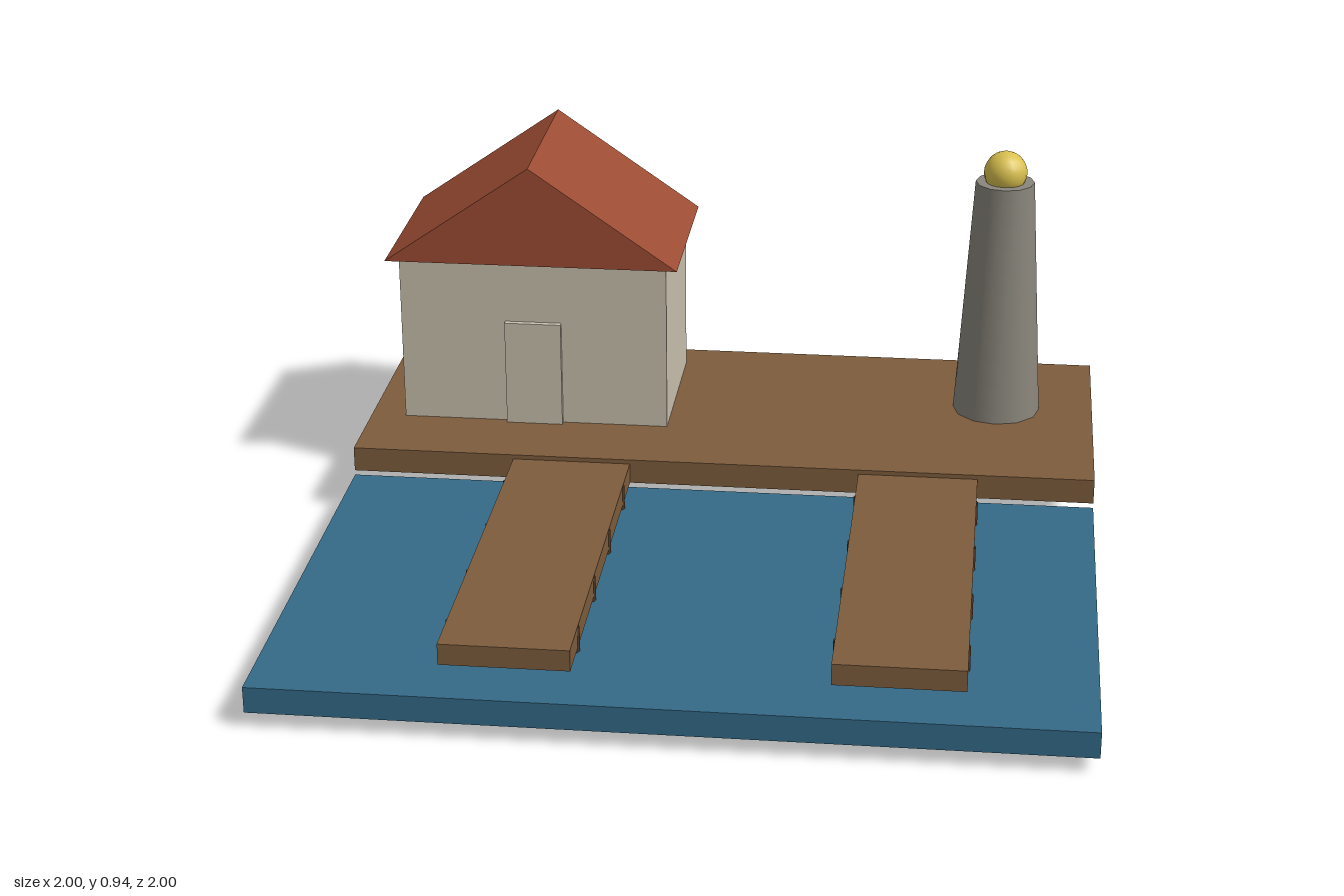
import * as THREE from 'three';

const mat = (name, color) => {
  const m = new THREE.MeshStandardMaterial({ color });
  m.name = name;
  return m;
};

export function createModel() {
  const group = new THREE.Group();
  const wood = mat('plank brown', 0x7d5c3c);
  const darkWood = mat('post dark brown', 0x4a3526);
  const sea = mat('sea blue', 0x346a88);
  const plaster = mat('plaster', 0xc8bfad);
  const tile = mat('roof red', 0x9c4c33);
  const stone = mat('stone grey', 0x8a867c);
  const lampYellow = mat('lamp yellow', 0xd9c04f);

  const add = (name, geometry, material, x = 0, y = 0, z = 0) => {
    const mesh = new THREE.Mesh(geometry, material);
    mesh.name = name;
    mesh.position.set(x, y, z);
    group.add(mesh);
    return mesh;
  };
  // Box given by its extents on each axis
  const box = (name, material, [x0, x1], [y0, y1], [z0, z1]) =>
    add(name, new THREE.BoxGeometry(x1 - x0, y1 - y0, z1 - z0), material,
      (x0 + x1) / 2, (y0 + y1) / 2, (z0 + z1) / 2);

  // Ground and water
  box('quay', wood, [-1, 1], [0.12, 0.187], [-1, -0.2]);
  box('water', sea, [-1, 1], [0.04, 0.107], [-0.2, 1]);

  // Two jetties, each on four pairs of posts
  const postGeometry = new THREE.CylinderGeometry(0.016, 0.016, 0.172, 8);
  for (const x of [-0.402, 0.532]) {
    box('jetty', wood, [x - 0.159, x + 0.159], [0.12, 0.175], [-0.2, 0.865]);
    for (const side of [-1, 1]) {
      for (let i = 0; i < 4; i++) {
        add('jettyPost', postGeometry, darkWood, x + side * 0.147, 0.086, -0.065 + i * 0.267);
      }
    }
  }

  // House with a gabled roof, ridge running front to back
  box('houseWalls', plaster, [-0.904, -0.17], [0.187, 0.657], [-0.9, -0.433]);
  box('door', plaster, [-0.615, -0.46], [0.187, 0.482], [-0.433, -0.417]);
  const gable = new THREE.Shape([
    new THREE.Vector2(-0.4, 0),
    new THREE.Vector2(0.4, 0),
    new THREE.Vector2(0, 0.277),
  ]);
  add('roof', new THREE.ExtrudeGeometry(gable, { depth: 0.533, bevelEnabled: false }),
    tile, -0.537, 0.657, -0.933);

  // Lighthouse
  add('lighthouseTower', new THREE.CylinderGeometry(0.08, 0.12, 0.668, 12), stone, 0.732, 0.521, -0.665);
  add('lighthouseLamp', new THREE.SphereGeometry(0.059, 16, 12), lampYellow, 0.732, 0.881, -0.665);

  return group;
}
